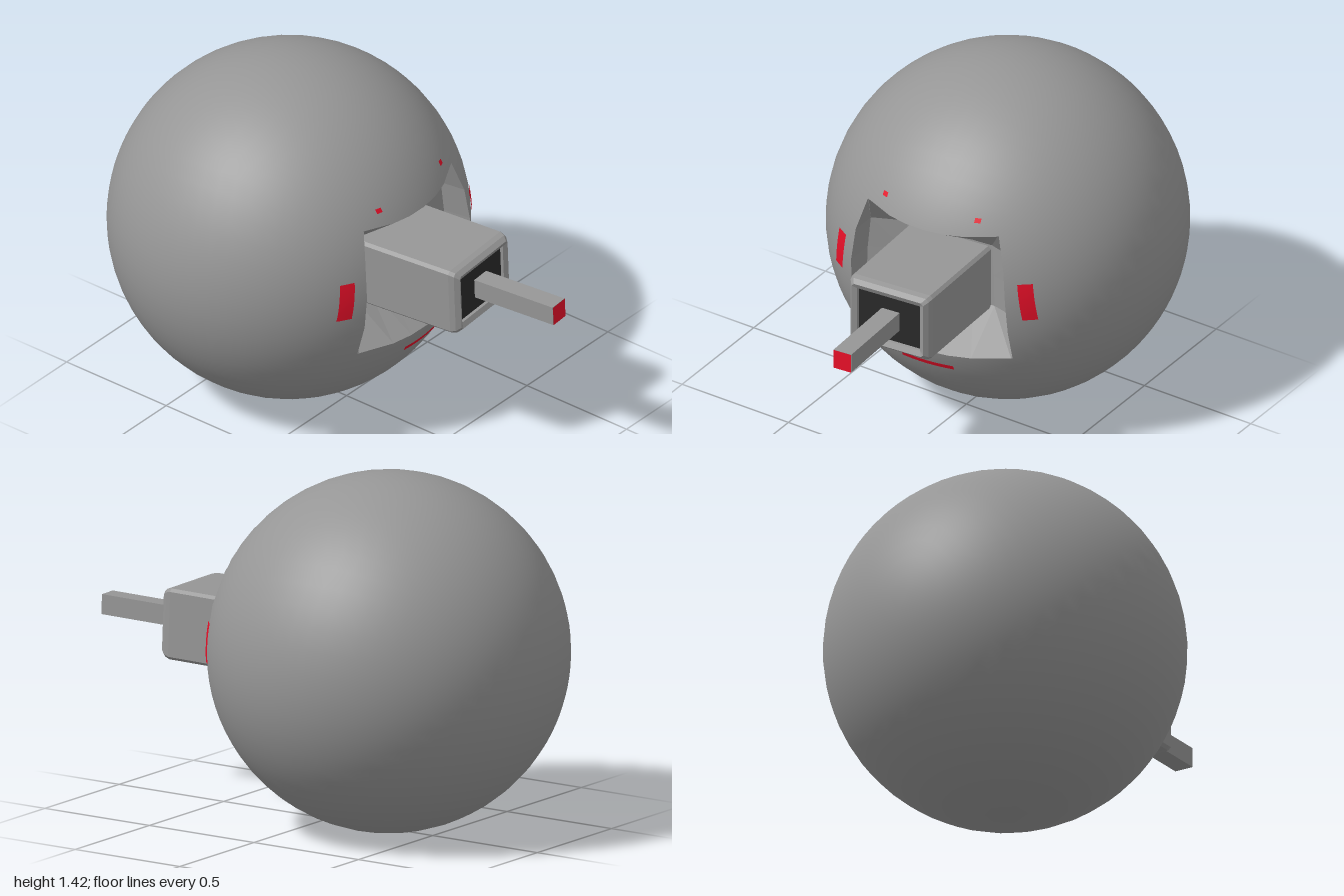
import * as THREE from 'three';

const R = 0.711;
const grey = new THREE.MeshStandardMaterial({ color: 0x969696 });
const flatGrey = new THREE.MeshStandardMaterial({ color: 0x969696, flatShading: true });
const red = new THREE.MeshStandardMaterial({ color: 0xe60f28 });
const dark = new THREE.MeshStandardMaterial({ color: 0x292929 });

const onSphere = (x, y, r = R) => new THREE.Vector3(x, y, Math.sqrt(r * r - x * x - y * y));

function mesh(name, geometry, material) {
  const m = new THREE.Mesh(geometry, material);
  m.name = name;
  return m;
}

// Surface from rows of points; open grids get mirrored diagonals towards the middle
function gridSurface(rows, closed = false) {
  const n = rows[0].length, index = [];
  for (let k = 0; k < rows.length - 1; k++) {
    for (let i = 0; i < (closed ? n : n - 1); i++) {
      const a = k * n + i, b = k * n + (i + 1) % n, c = a + n, d = b + n;
      const flip = !closed && (2 * i < n - 1) !== (2 * k < rows.length - 1);
      if (flip) index.push(a, b, c, b, d, c);
      else index.push(a, b, d, a, d, c);
    }
  }
  const g = new THREE.BufferGeometry().setFromPoints(rows.flat());
  g.setIndex(index);
  g.computeVertexNormals();
  return g;
}

// Recess grid: the rim lies on the sphere, short side walls drop to a sunken floor
const columns = [-1, -0.985, -0.57, -0.3, 0, 0.3, 0.57, 0.985, 1];
const rowY = [-0.25, -0.115, 0.02, 0.155, 0.29];
const halfWidth = [0.35, 0.352, 0.347, 0.333, 0.295];
const recessRows = rowY.map((y, j) => columns.map((u) => {
  const edge = j === 0 || j === rowY.length - 1;
  const p = onSphere(u * halfWidth[j], y - (edge ? 0.018 * (1 - u * u) : 0));
  if (!edge && Math.abs(u) < 1) p.z = Math.abs(u) > 0.9 ? 0.5 : 0.45;
  return p;
}));

// Ball skin: rings running from the recess rim round to the back
function ballGeometry() {
  const last = columns.length - 1, top = rowY.length - 1;
  const corners = [
    ...recessRows[0].slice(0, last),
    ...recessRows.slice(0, top).map((r) => r[last]),
    ...recessRows[top].slice(1).reverse(),
    ...recessRows.slice(1).reverse().map((r) => r[0]),
  ];
  const rim = corners.flatMap((p, i) => [0, 1 / 3, 2 / 3].map(
    (t) => p.clone().lerp(corners[(i + 1) % corners.length], t)));
  const rings = [];
  const steps = 26;
  for (let k = steps; k >= 0; k--) {
    rings.push(rim.map((p) => {
      if (k === 0) return p.clone();
      const phi = Math.atan2(p.y, p.x);
      const start = Math.acos(p.z / p.length());
      const theta = start + (Math.PI - start) * k / steps;
      return new THREE.Vector3(
        R * Math.sin(theta) * Math.cos(phi), R * Math.sin(theta) * Math.sin(phi), R * Math.cos(theta));
    }));
  }
  const g = gridSurface(rings, true);
  const pos = g.attributes.position, v = new THREE.Vector3();
  for (let i = 0; i < pos.count; i++) {
    v.fromBufferAttribute(pos, i).normalize();
    g.attributes.normal.setXYZ(i, v.x, v.y, v.z);
  }
  return g;
}

// Rectangle with cut corners, counter-clockwise
function section(hx, hy, z, cut) {
  return [
    [hx, -hy + cut], [hx, hy - cut], [hx - cut, hy], [-hx + cut, hy],
    [-hx, hy - cut], [-hx, -hy + cut], [-hx + cut, -hy], [hx - cut, -hy],
  ].map(([x, y]) => new THREE.Vector3(x, y + 0.005, z));
}

// Thin marking that follows the sphere; skew leans its lower end sideways
function marking(name, x, y, w, h, skew = 0) {
  const rows = [];
  for (let j = 0; j <= 6; j++) {
    const t = j / 6 - 0.5, row = [];
    for (let i = 0; i <= 6; i++) {
      row.push(onSphere(x + (i / 6 - 0.5) * w - skew * t, y + t * h, R + 0.004));
    }
    rows.push(row);
  }
  return mesh(name, gridSurface(rows), red);
}

export function createModel() {
  const model = new THREE.Group();
  model.name = 'ballTurret';

  // Everything turns together about the ball centre
  const turret = new THREE.Group();
  turret.name = 'turret';
  turret.position.set(0, 0.713, -0.29);
  turret.rotation.set(-0.028, 0.066, 0.018);
  model.add(turret);

  turret.add(mesh('ball', ballGeometry(), grey));
  turret.add(mesh('recess', gridSurface(recessRows), flatGrey));

  // Housing with bevelled front frame
  const housing = gridSurface([
    section(0.185, 0.142, 0.4, 0.012),
    section(0.182, 0.142, 0.895, 0.012),
    section(0.176, 0.136, 0.918, 0.012),
    section(0.161, 0.121, 0.936, 0.01),
    section(0.142, 0.1, 0.926, 0.001),
    section(0.14, 0.098, 0.91, 0.001),
  ], true);
  turret.add(mesh('housing', housing, flatGrey));

  const panel = mesh('frontPanel', new THREE.PlaneGeometry(0.284, 0.2), dark);
  panel.position.set(0, 0.005, 0.914);
  turret.add(panel);

  // Square barrel with a coloured tip
  const barrel = mesh('barrel', new THREE.BoxGeometry(0.08, 0.08, 0.386), flatGrey);
  barrel.position.set(0.003, 0.001, 1.096);
  const tip = mesh('barrelTip', new THREE.PlaneGeometry(0.08, 0.08), red);
  tip.position.set(0.003, 0.001, 1.2905);
  turret.add(barrel, tip);

  // Markings around the recess
  for (const s of [-1, 1]) {
    turret.add(marking('sideMarking', s * 0.421, 0.027, 0.05, 0.158, s * 0.02));
    turret.add(marking('upperMarking', s * 0.208, 0.343, 0.024, 0.017));
  }
  turret.add(marking('lowerMarking', 0, -0.334, 0.232, 0.02));

  return model;
}
